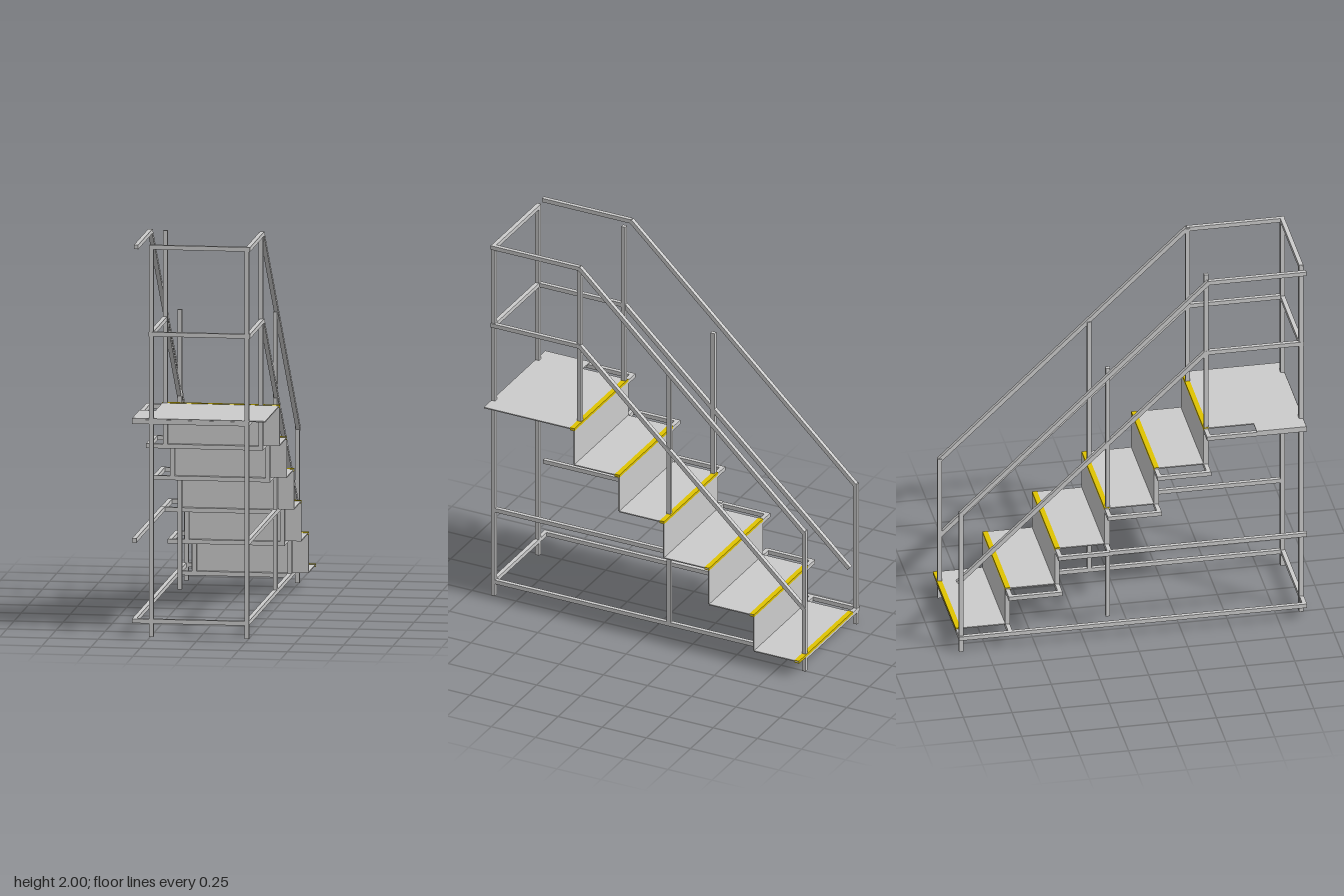
import * as THREE from 'three';

const grey = new THREE.MeshStandardMaterial({ color: 0xcccccc });
const yellow = new THREE.MeshStandardMaterial({ color: 0xe0c400 });
const T = 0.022; // tube thickness

export function createModel() {
  const model = new THREE.Group();

  // box given by its limits on each axis
  function box(name, x0, x1, y0, y1, z0, z1, material = grey) {
    const mesh = new THREE.Mesh(new THREE.BoxGeometry(x1 - x0, y1 - y0, z1 - z0), material);
    mesh.position.set((x0 + x1) / 2, (y0 + y1) / 2, (z0 + z1) / 2);
    mesh.name = name;
    model.add(mesh);
  }
  // square tubes centred on a line parallel to one axis
  const post = (name, x, z, y0, y1) => box(name, x - T / 2, x + T / 2, y0, y1, z - T / 2, z + T / 2);
  const across = (name, y, z, x0 = -0.343, x1 = 0.252) => box(name, x0, x1, y - T / 2, y + T / 2, z - T / 2, z + T / 2);
  const along = (name, x, y, z0, z1) => box(name, x - T / 2, x + T / 2, y - T / 2, y + T / 2, z0, z1);

  // handrail: level over the platform, then sloping down the flight
  function handrail(name, x, yTop, yLow) {
    along(name + 'Level', x, yTop, 0.39, 0.893);
    const dz = 0.39 + 0.88, dy = yTop - yLow;
    const mesh = new THREE.Mesh(new THREE.BoxGeometry(T, T, Math.hypot(dz, dy) + 0.008), grey);
    mesh.position.set(x, (yTop + yLow) / 2, (0.39 - 0.88) / 2);
    mesh.rotation.x = -Math.atan2(dy, dz);
    mesh.name = name + 'Slope';
    model.add(mesh);
  }

  // steps: tube frame, plate, riser and yellow nosing; the last one is the platform
  const steps = 6, run = 0.2545, rise = 0.2035;
  for (let i = 0; i < steps; i++) {
    const top = i === steps - 1;
    const z0 = -0.893 + run * i;
    const z1 = top ? 0.893 : z0 + run + T;
    const y = 0.08 + rise * i;
    const plateTop = y + 0.017;
    across('stepFrameFront', y, z0 + T / 2);
    across('stepFrameBack', y, z1 - T / 2);
    for (const x of [-0.332, 0.241]) along('stepFrameSide', x, y, z0, z1);
    box('treadPlate', -0.26, 0.335, plateTop - 0.006, plateTop, z0, top ? 0.64 : z0 + run);
    box('nosing', -0.26, 0.335, plateTop - 0.012, plateTop + 0.002, z0 - 0.002, z0 + 0.024, yellow);
    if (i > 0) {
      box('riser', -0.26, 0.335, plateTop - rise, plateTop - 0.012, z0 - 0.002, z0 + 0.004);
      for (const x of [-0.245, 0.241]) post('riserSupport', x, z0 + T / 2 + 0.002, y - rise, y);
    }
    if (top) box('platformPlate', -0.343, 0.335, plateTop - 0.006, plateTop, 0.635, 0.89);
  }

  // base frame and middle side bars
  across('baseBarFront', 0.08, 0.882);
  for (const x of [-0.332, 0.241]) along('baseBarSide', x, 0.08, -0.893, 0.893);
  for (const x of [-0.332, 0.241]) along('middleBarSide', x, 0.49, -0.12, 0.893);

  // posts on both sides
  for (const x of [-0.245, 0.241]) {
    post('platformCornerPost', x, 0.88, 0, 1.995);
    post('platformRearPost', x, 0.393, 1.1, 1.995);
    post('middlePost', x, -0.112, 0.08, 1.51);
  }
  for (const x of [-0.322, 0.243]) post('bottomPost', x, -0.88, 0, 0.8);

  // handrails and the guard across the platform end
  handrail('leftHandrail', 0.247, 1.989, 0.79);
  handrail('leftMiddleRail', 0.247, 1.545, 0.355);
  handrail('rightHandrail', -0.322, 1.989, 0.79);
  handrail('rightMiddleRail', -0.247, 1.545, 0.355);
  across('platformTopRail', 1.989, 0.88, -0.255, 0.258);
  across('platformMiddleRail', 1.545, 0.88, -0.245, 0.247);

  return model;
}
